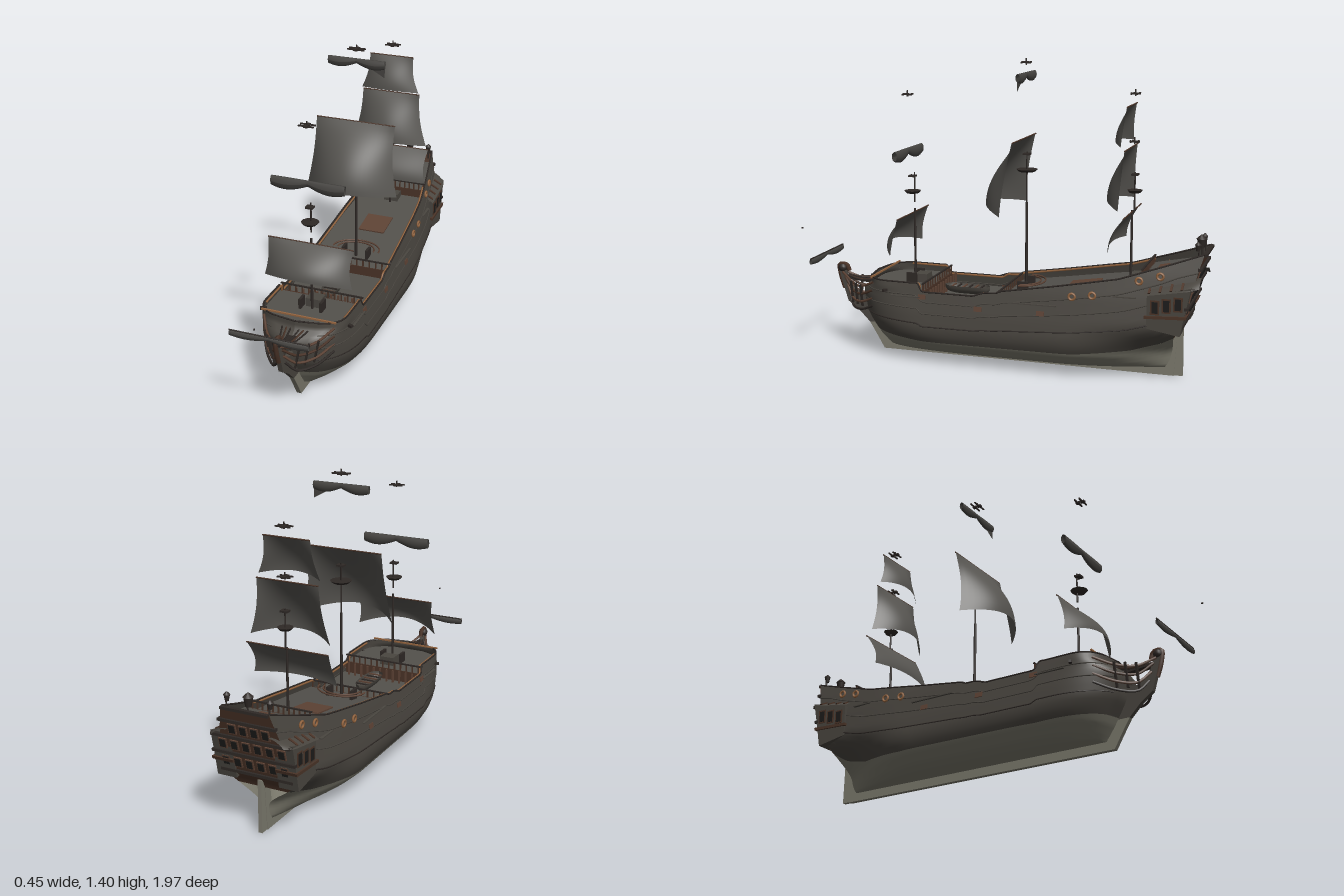
import * as THREE from 'three';

const mat = (name, color, side = THREE.DoubleSide) => {
  const m = new THREE.MeshStandardMaterial({ color, side });
  m.name = name;
  return m;
};
const lerp = THREE.MathUtils.lerp;
const V = (x, y, z) => new THREE.Vector3(x, y, z);

// piecewise-linear lookup in ascending [key, value] pairs
const table = (t) => (k) => {
  if (k <= t[0][0]) return t[0][1];
  for (let i = 1; i < t.length; i++) {
    if (k <= t[i][0]) return lerp(t[i - 1][1], t[i][1], (k - t[i - 1][0]) / (t[i][0] - t[i - 1][0]));
  }
  return t[t.length - 1][1];
};

// hull lines
const rail = table([[-0.96, 0.585], [-0.8, 0.53], [-0.6, 0.465], [-0.3, 0.412], [-0.07, 0.375], [-0.05, 0.365],
  [0.02, 0.362], [0.04, 0.345], [0.3, 0.345], [0.32, 0.382], [0.66, 0.385]]);
const waterline = table([[-0.86, 0.22], [-0.78, 0.17], [-0.65, 0.135], [-0.4, 0.115], [0.3, 0.11], [0.66, 0.135]]);
const sternZ = table([[0.04, -0.8], [0.22, -0.84], [0.26, -0.87], [0.585, -0.96]]);
const bowZ = table([[0.04, 0.54], [0.1, 0.58], [0.2, 0.635], [0.3, 0.655], [0.32, 0.65], [0.35, 0.602]]);
const breadth = table([[0.035, 0.1], [0.06, 0.155], [0.1, 0.2], [0.14, 0.219], [0.18, 0.225], [0.25, 0.218],
  [0.38, 0.196], [0.48, 0.172], [0.6, 0.135]]);
const entry = table([[0.04, 0.55], [0.15, 0.42], [0.3, 0.31], [0.32, 0.29], [0.35, 0.15]]);

function half(z, y) {
  const c = THREE.MathUtils.clamp;
  const d = c((bowZ(y) - z) / entry(y), 0, 1);
  const a = Math.sin(c((z - sternZ(y)) / 0.5, 0, 1) * Math.PI / 2);
  const aft = lerp(0.06 + 0.94 * a, 0.8 + 0.2 * a, THREE.MathUtils.smoothstep(y, 0.1, 0.27));
  return breadth(y) * Math.sqrt(1 - (1 - d) ** 3) * aft;
}
// point on the hull: s runs stern to bow, k runs between two height lines
function hullPoint(s, k, low, high, side, out = 0) {
  let z = lerp(-0.9, 0.65, s), y = 0;
  for (let i = 0; i < 4; i++) {
    y = lerp(low(z), high(z), k);
    z = lerp(sternZ(y), bowZ(y), s);
  }
  return V(side * (half(z, y) + out), y, z);
}

function surface(f, nu, nv) {
  const pos = [], idx = [];
  for (let j = 0; j <= nv; j++) {
    for (let i = 0; i <= nu; i++) {
      pos.push(...f(i / nu, j / nv).toArray());
      if (i < nu && j < nv) {
        const a = j * (nu + 1) + i, b = a + nu + 1;
        idx.push(a, a + 1, b, a + 1, b + 1, b);
      }
    }
  }
  const g = new THREE.BufferGeometry();
  g.setAttribute('position', new THREE.Float32BufferAttribute(pos, 3));
  g.setIndex(idx);
  g.computeVertexNormals();
  return g;
}

export function createModel() {
  const root = new THREE.Group();
  const F = THREE.FrontSide;
  const hullM = mat('hullPlanks', 0x4a4640), bottomM = mat('hullBottom', 0x7d7b6e), sailM = mat('sailCloth', 0x575551);
  const deckM = mat('deckPlanks', 0x53514c), darkM = mat('darkWood', 0x2f2926, F), brownM = mat('redWood', 0x4b3428);
  const hatchM = mat('hatchWood', 0x5e4335), furledM = mat('furledCloth', 0x454340);
  const trimM = mat('giltTrim', 0x946540, F), glassM = mat('windowGlass', 0x1d1c1b, F);

  const add = (name, geo, m, x = 0, y = 0, z = 0, rx = 0, ry = 0, rz = 0) => {
    const mesh = new THREE.Mesh(geo, m);
    mesh.name = name;
    mesh.position.set(x, y, z);
    mesh.rotation.set(rx, ry, rz);
    root.add(mesh);
    return mesh;
  };
  const box = (name, w, h, d, m, ...at) => add(name, new THREE.BoxGeometry(w, h, d), m, ...at);
  const cyl = (name, rt, rb, h, m, ...at) => add(name, new THREE.CylinderGeometry(rt, rb, h, 10), m, ...at);
  const tube = (name, pts, r, m) =>
    add(name, new THREE.TubeGeometry(new THREE.CatmullRomCurve3(pts), pts.length * 3, r, 5), m);
  // plate drawn in the z-y plane, extruded along x from x0 to x0 + w
  const slab = (name, zy, x0, w, m) => {
    const shape = new THREE.Shape(zy.map(([z, y]) => new THREE.Vector2(-z, y)));
    return add(name, new THREE.ExtrudeGeometry(shape, { depth: w, bevelEnabled: false }), m, x0, 0, 0, 0, Math.PI / 2);
  };

  // hull sides, rails, wales and gun ports
  const floor = () => 0.038;
  for (const side of [1, -1]) {
    add('upperHull', surface((s, k) => hullPoint(s, k, waterline, rail, side), 130, 14), hullM);
    add('lowerHull', surface((s, k) => {
      const p = hullPoint(s, Math.max(0, (k - 0.1) / 0.9), floor, waterline, side);
      if (k === 0) p.x = 0;
      return p;
    }, 60, 10), bottomM);
    const line = (k, out, s0 = 0, s1 = 0.985, n = 60) =>
      Array.from({ length: n + 1 }, (_, i) => hullPoint(lerp(s0, s1, i / n), k, waterline, rail, side, out));
    tube('capRail', line(1, 0, 0, 1), 0.004, darkM);
    tube('innerRail', line(0.985, -0.01, 0.15, 0.93), 0.005, trimM);
    tube('lowerWale', line(0.33, 0), 0.003, darkM);
    for (const k of [0.58, 0.8]) tube('wale', line(k, 0), 0.003, hullM);
    for (const [z, y] of [[0.03, 0.288], [-0.26, 0.292], [0.3, 0.322]]) {
      box('gunPort', 0.006, 0.022, 0.036, hatchM, side * (half(z, y) + 0.001), y, z, 0, 0, side * 0.15);
    }
    for (const [z, y] of [[-0.4, 0.377], [-0.49, 0.388], [-0.69, 0.462], [-0.78, 0.485]]) {
      add('portWreath', new THREE.TorusGeometry(0.014, 0.0055, 6, 14), trimM, side * (half(z, y) + 0.004), y, z, 0, Math.PI / 2);
    }
    for (const [z, y, l] of [[0.38, 0.32, 0.14], [-0.22, 0.33, 0.22], [-0.63, 0.39, 0.1]]) {
      box('channel', 0.014, 0.005, l, hullM, side * (half(z, y) + 0.003), y, z);
    }
    box('cathead', 0.03, 0.012, 0.014, darkM, side * 0.205, 0.34, 0.48, 0, -side * 0.4);

    // beakhead rails sweeping to the stem
    for (let i = 0; i < 4; i++) {
      const y = 0.36 - i * 0.037;
      tube('headRail', [V(side * 0.165, y, 0.56), V(side * 0.115, y - 0.035, 0.64),
        V(side * 0.055, y - 0.035, 0.71), V(side * 0.014, y + (i ? 0.015 : 0), 0.78 - i * 0.012)], 0.006, [hatchM, brownM, hatchM, darkM][i]);
    }
    for (let i = 0; i < 3; i++) {
      const t = i / 3;
      box('headTimber', 0.008, 0.11, 0.01, darkM, side * lerp(0.115, 0.03, t), 0.28, lerp(0.64, 0.75, t), 0, 0, -side * 0.2);
      tube('gratingBar', [V(side * 0.02 * (i + 1), 0.345, 0.6), V(side * 0.012 * (i + 1), 0.335, 0.68), V(side * 0.006, 0.345, 0.76)], 0.004, i % 2 ? brownM : darkM);
    }

    // quarter gallery
    slab('quarterGallery', [[-0.73, 0.26], [-0.73, 0.405], [-0.92, 0.45], [-0.9, 0.36], [-0.875, 0.235]],
      side > 0 ? 0.1 : -0.192, 0.092, hullM);
    for (let i = 0; i < 3; i++) {
      box('galleryWindowFrame', 0.006, 0.064, 0.04, brownM, side * 0.192, 0.356 + i * 0.01, -0.765 - i * 0.05);
      box('galleryWindow', 0.008, 0.05, 0.026, glassM, side * 0.193, 0.356 + i * 0.01, -0.765 - i * 0.05);
    }
    slab('gallerySill', [[-0.72, 0.305], [-0.72, 0.317], [-0.905, 0.327], [-0.9, 0.313]], side > 0 ? 0.1 : -0.2, 0.1, brownM);
    // roof narrows towards the stern
    add('galleryRoof', surface((u, k) => {
      const z = lerp(-0.715, -0.95, k), w = 0.2 - 0.03 * Math.max(0, (k - 0.75) * 4) ** 2;
      return V(side * lerp(0.1, w, u), 0.44 + 0.04 * k - 0.035 * u * u, z);
    }, 6, 12), hullM);
    for (let i = 0; i < 4; i++) {
      const k = 0.1 + i * 0.2;
      box('galleryRoofRib', 0.045, 0.006, 0.01, brownM, side * 0.172, 0.424 + 0.04 * k, lerp(-0.715, -0.95, k), 0, 0, -side * 0.5);
    }
  }

  // keel, cutwater, figurehead and rudder
  slab('keel', [[0.57, 0], [0.605, 0.06], [0.645, 0.125], [0.56, 0.125], [0.5, 0.05], [-0.78, 0.05], [-0.8, 0.22], [-0.84, 0.22], [-0.825, 0]], -0.011, 0.022, bottomM);
  slab('cutwater', [[0.645, 0.125], [0.7, 0.18], [0.755, 0.22], [0.78, 0.3], [0.8, 0.37], [0.77, 0.37], [0.74, 0.29], [0.69, 0.26], [0.62, 0.26], [0.56, 0.125]], -0.011, 0.022, hullM);
  add('figurehead', new THREE.SphereGeometry(0.022, 12, 8), darkM, 0, 0.38, 0.785);
  tube('figureheadScroll', [V(0, 0.28, 0.775), V(0, 0.34, 0.795), V(0, 0.395, 0.8), V(0, 0.395, 0.765), V(0, 0.365, 0.75)], 0.011, brownM);
  slab('beakDeck', [[0.58, 0.315], [0.58, 0.325], [0.75, 0.34], [0.75, 0.33]], -0.02, 0.04, darkM);
  slab('rudder', [[-0.82, 0.002], [-0.865, 0.002], [-0.862, 0.24], [-0.835, 0.24]], -0.009, 0.018, bottomM);

  // transom with window rows and mouldings
  add('transom', surface((u, k) => {
    const y = lerp(0.2, 0.585, k), z = sternZ(y);
    return V((2 * u - 1) * half(z, y), y, z - 0.001);
  }, 6, 14), brownM);
  for (const [y, n, gap] of [[0.4, 6, 0.055], [0.315, 6, 0.055], [0.48, 4, 0.052]]) {
    for (let i = 0; i < n; i++) {
      const x = (i - (n - 1) / 2) * gap;
      box('sternWindowFrame', 0.038, 0.048, 0.006, hatchM, x, y, sternZ(y) - 0.003, -0.27);
      box('sternWindow', 0.027, 0.037, 0.006, glassM, x, y, sternZ(y) - 0.006, -0.27);
    }
  }
  for (const [y, w] of [[0.27, 0.34], [0.358, 0.39], [0.44, 0.37], [0.52, 0.27], [0.58, 0.22]]) {
    box('sternMoulding', w, 0.012, 0.018, darkM, 0, y, sternZ(y) - 0.004);
  }
  for (const [x, s] of [[0, 1.15], [0.1, 0.75], [-0.1, 0.75]]) {
    cyl('lanternPost', 0.004, 0.004, 0.05, darkM, x, 0.58, -0.935);
    cyl('lantern', 0.018 * s, 0.011 * s, 0.035 * s, darkM, x, 0.61, -0.93);
    cyl('lanternCap', 0.003, 0.02 * s, 0.016 * s, darkM, x, 0.61 + 0.026 * s, -0.93);
  }

  // decks and the bulkheads between them
  const decks = [[-0.94, -0.7, 0.53, 0.475], [-0.7, -0.06, 0.435, 0.335], [-0.06, 0.3, 0.29, 0.29], [0.3, 0.6, 0.345, 0.345]];
  for (const [z0, z1, y0, y1] of decks) {
    add('deck', surface((u, k) => {
      const z = lerp(z0, z1, k), y = lerp(y0, y1, k);
      return V((1 - 2 * u) * (half(z, y) - 0.002), y, z);
    }, 2, 24), deckM);
  }
  for (const [z, lo, hi] of [[-0.7, 0.43, 0.475], [-0.06, 0.285, 0.335], [0.3, 0.285, 0.345]]) {
    const w = 2 * half(z, hi) - 0.006;
    box('bulkhead', w, hi - lo, 0.008, brownM, 0, (lo + hi) / 2, z);
    box('bulkheadRail', w, 0.006, 0.008, darkM, 0, hi + 0.035, z);
    for (let i = 0; i < 13; i++) box('baluster', 0.006, 0.035, 0.006, brownM, (i / 12 - 0.5) * w * 0.95, hi + 0.017, z);
  }
  for (let i = 0; i < 11; i++) box('railPost', 0.008, 0.06, 0.008, hatchM, (i - 5) * 0.034, 0.32, 0.27);
  box('bowRail', 0.35, 0.007, 0.008, trimM, 0, 0.388, 0.562);

  // deck fittings
  box('hatch', 0.13, 0.012, 0.14, hatchM, 0, 0.39, -0.41, 0.155);
  box('poopHatch', 0.11, 0.006, 0.045, hatchM, 0, 0.493, -0.765, 0.22);
  for (const [y, z] of [[0.44, -0.66], [0.365, 0.37]]) box('companion', 0.07, 0.04, 0.06, hullM, 0, y, z);
  for (const r of [0.115, 0.09]) {
    add('curvedRail', new THREE.TorusGeometry(r, 0.004, 6, 20, Math.PI), hatchM, 0, 0.385, -0.13, -Math.PI / 2).scale.y = 0.8;
  }
  add('boatHull', surface((u, k) => {
    const e = Math.sqrt(Math.max(0, 1 - Math.abs(2 * k - 1) ** 3)), a = u * Math.PI;
    return V(0.04 * e * Math.cos(a), 0.34 - 0.04 * Math.sin(a) * (0.4 + 0.6 * e), lerp(0.04, 0.26, k));
  }, 10, 16), hullM);
  for (let i = 0; i < 6; i++) box('boatThwart', 0.066, 0.005, 0.008, i % 2 ? hatchM : darkM, 0, 0.335, 0.08 + i * 0.028);

  // masts, tops and crosstrees
  for (const [z, y0, y1, r] of [[0.41, 0.34, 0.69, 0.006], [0.41, 0.72, 0.86, 0.004], [-0.135, 0.28, 0.75, 0.007], [-0.135, 0.75, 0.98, 0.004], [-0.62, 0.42, 0.74, 0.006], [-0.63, 0.74, 0.91, 0.004]]) {
    cyl('mast', r * 0.85, r, y1 - y0, darkM, 0, (y0 + y1) / 2, z);
  }
  for (const [z, y, r] of [[0.42, 0.768, 0.04], [-0.135, 0.895, 0.05], [-0.63, 0.825, 0.035]]) {
    cyl('mastTop', r, r * 0.7, 0.012, darkM, 0, y, z);
    box('mastCap', 0.035, 0.008, 0.03, darkM, 0, y + 0.075, z);
  }
  for (const [z, y, w] of [[0.44, 1.222, 0.07], [-0.13, 1.38, 0.08], [-0.625, 1.255, 0.07], [-0.625, 1.045, 0.06]]) {
    for (const dz of [-0.012, 0.012]) box('crosstree', w, 0.006, 0.006, darkM, 0, y, z + dz);
    box('trestle', 0.016, 0.008, 0.045, darkM, 0, y, z);
    cyl('mastStub', 0.003, 0.004, 0.03, darkM, 0, y + 0.004, z);
  }
  for (const [z, x] of [[0.41, 0.05], [-0.135, 0.06]]) {
    for (const s of [-1, 1]) box('bitts', 0.012, 0.05, 0.05, darkM, s * x, 0.367, z);
  }

  // set sails, bellied forward with arched feet; edge is how far the sides lag behind
  const sail = (name, z0, top, foot, wTop, wFoot, belly, arch, edge) => {
    add(name, surface((u, v) => {
      const e = 2 * u - 1;
      return V(e * (lerp(wTop, wFoot, v) - 0.012 * Math.sin(v * Math.PI)), lerp(top, foot, v) + arch * v * (1 - e * e),
        z0 + belly * Math.sin(v * Math.PI / 2) * (1 - edge * e * e));
    }, 20, 14), sailM);
    cyl(name + 'Yard', 0.003, 0.003, wTop * 2, brownM, 0, top, z0 - 0.002, 0, 0, Math.PI / 2);
  };
  sail('foreSail', 0.42, 0.67, 0.5, 0.2, 0.205, 0.11, 0.035, 0.7);
  sail('mainSail', -0.12, 1.04, 0.715, 0.19, 0.22, 0.17, 0.03, 0.72);
  sail('mizzenTopSail', -0.61, 1.205, 1.035, 0.11, 0.145, 0.066, 0.015, 0.75);
  sail('mizzenMiddleSail', -0.61, 1.02, 0.765, 0.145, 0.19, 0.1, 0.025, 0.85);
  sail('mizzenLowerSail', -0.62, 0.735, 0.58, 0.195, 0.2, 0.09, 0.01, 0.3);

  // furled sails hanging in two lobes
  const furled = (name, y, z, w, r) => add(name, surface((u, v) => {
    const e = 2 * v - 1, a = u * Math.PI * 2;
    const lobe = r * (0.5 + 0.5 * Math.abs(Math.sin(e * Math.PI * 0.8)));
    return V(e * w, y + lobe * (Math.sin(a) - 1), z + 0.55 * lobe * Math.cos(a));
  }, 10, 28), furledM);
  furled('furledForeTopsail', 0.975, 0.44, 0.168, 0.028);
  furled('furledMainTopsail', 1.337, -0.13, 0.135, 0.023);
  add('looseClew', surface((u, v) => V(lerp(0.07, 0.135, u), lerp(1.32, 1.295 - 0.035 * u, v), -0.128), 3, 3), furledM);
  furled('furledSpritsail', 0.45, 0.868, 0.178, 0.015);
  cyl('spritYard', 0.003, 0.003, 0.36, darkM, 0, 0.452, 0.868, 0, 0, Math.PI / 2);
  box('spritTip', 0.005, 0.005, 0.008, darkM, 0, 0.56, 0.996);
  return root;
}
